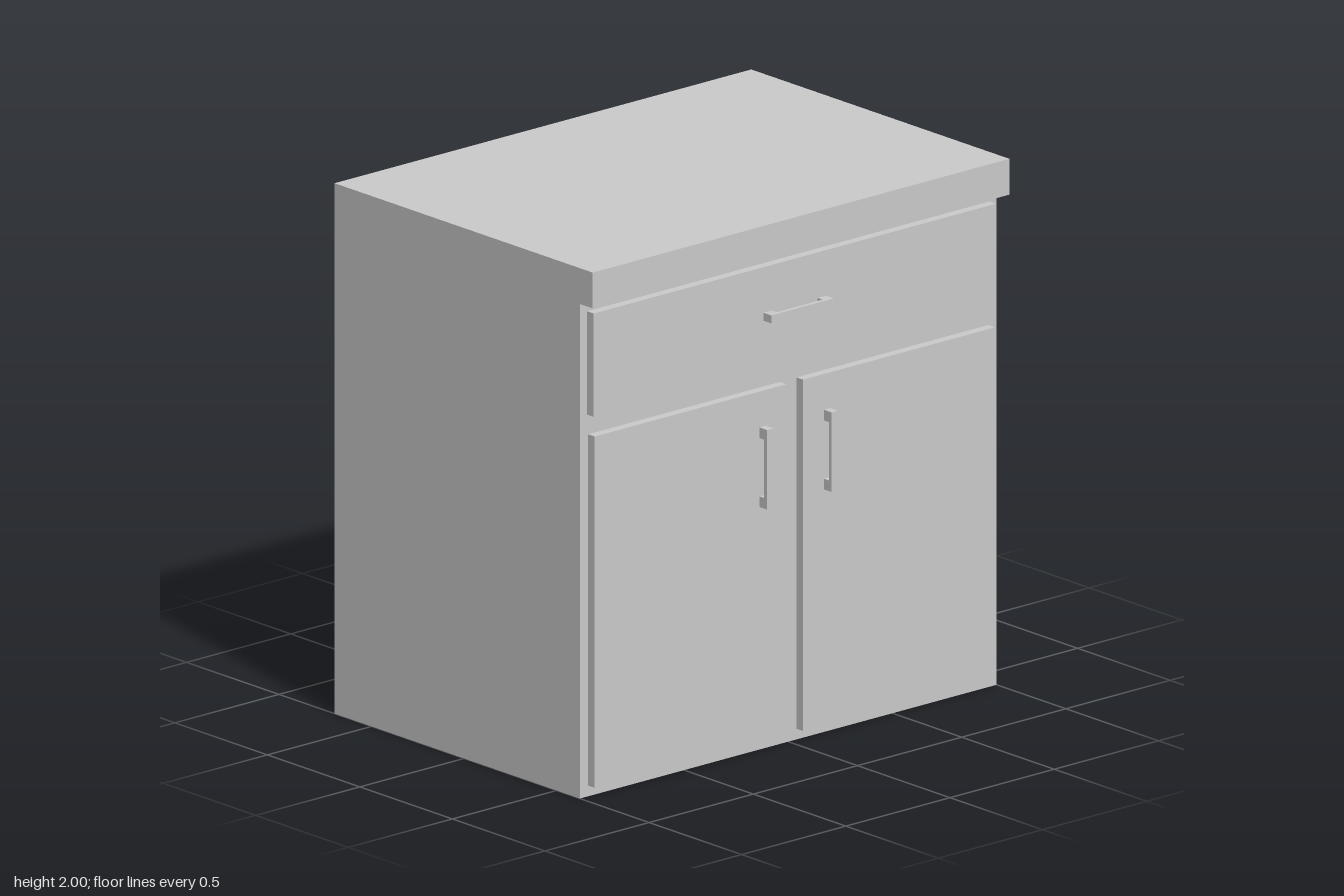
import * as THREE from 'three';

const material = new THREE.MeshStandardMaterial({ color: 0xcccccc, flatShading: true });

// Box given by its minimum and maximum corners
function box(name, [x0, y0, z0], [x1, y1, z1]) {
  const geometry = new THREE.BoxGeometry(x1 - x0, y1 - y0, z1 - z0);
  geometry.translate((x0 + x1) / 2, (y0 + y1) / 2, (z0 + z1) / 2);
  const mesh = new THREE.Mesh(geometry, material);
  mesh.name = name;
  return mesh;
}

// Upright bracket handle: a C-shaped outline in x/y, extruded along z
function handle(name) {
  const depth = 0.042, half = 0.15, post = 0.04, bar = 0.016, width = 0.03;
  const shape = new THREE.Shape([
    [0, -half], [depth, -half], [depth, half], [0, half],
    [0, half - post], [depth - bar, half - post],
    [depth - bar, post - half], [0, post - half],
  ].map(([x, y]) => new THREE.Vector2(x, y)));
  const geometry = new THREE.ExtrudeGeometry(shape, { depth: width, bevelEnabled: false });
  geometry.translate(0, 0, -width / 2);
  const mesh = new THREE.Mesh(geometry, material);
  mesh.name = name;
  return mesh;
}

export function createModel() {
  const model = new THREE.Group();
  model.name = 'cabinet';

  const back = -0.7, face = 0.626, panel = 0.661;

  // Carcass and overhanging top
  model.add(box('body', [back, 0, -1], [face, 1.865, 1]));
  model.add(box('countertop', [back, 1.865, -1], [0.695, 2, 1]));

  // Wide drawer with a horizontal handle
  model.add(box('drawerFront', [face, 1.44, -0.965], [panel, 1.83, 0.965]));
  const drawerHandle = handle('drawerHandle');
  drawerHandle.rotation.x = Math.PI / 2;
  drawerHandle.position.set(panel, 1.643, 0);
  model.add(drawerHandle);

  // Pair of doors with handles near the middle
  for (const [side, s] of [['left', 1], ['right', -1]]) {
    const z = [0.04 * s, 0.96 * s].sort((a, b) => a - b);
    model.add(box(side + 'Door', [face, 0.04, z[0]], [panel, 1.365, z[1]]));
    const doorHandle = handle(side + 'DoorHandle');
    doorHandle.position.set(panel, 1.08, 0.155 * s);
    model.add(doorHandle);
  }

  return model;
}
